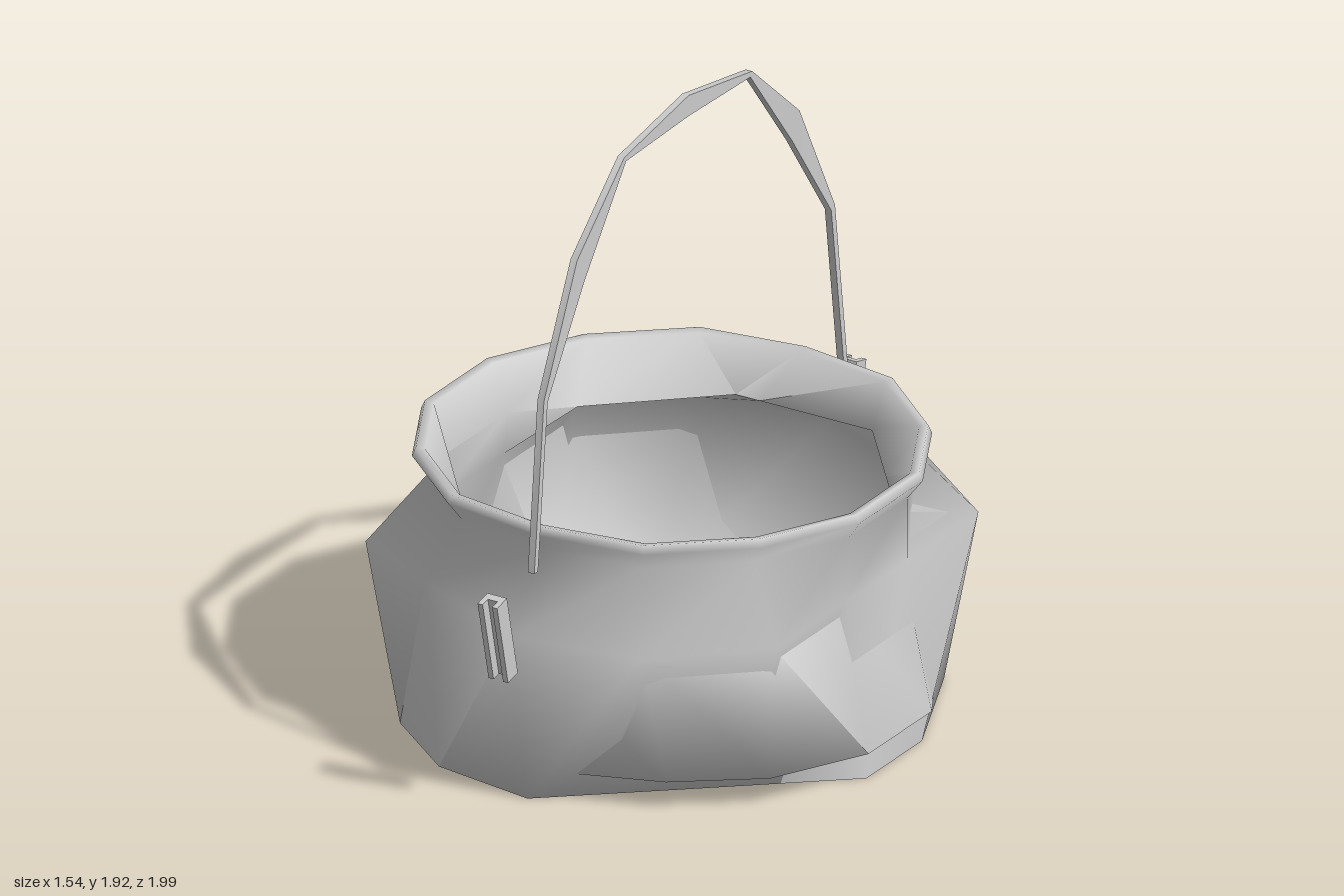
import * as THREE from 'three';
import { toCreasedNormals } from 'three/addons/utils/BufferGeometryUtils.js';

const material = new THREE.MeshStandardMaterial({ color: 0xcccccc, side: THREE.DoubleSide });

// Joins equal-length rings of [x, y, z] points into one closed-around skin
function loft(rings, crease) {
  const n = rings[0].length, index = [];
  for (let i = 0; i < rings.length - 1; i++) {
    for (let j = 0; j < n; j++) {
      const a = i * n + j, b = i * n + (j + 1) % n;
      index.push(a, b, b + n, a, b + n, a + n);
    }
  }
  const g = new THREE.BufferGeometry();
  g.setAttribute('position', new THREE.Float32BufferAttribute(rings.flat(2), 3));
  g.setIndex(index);
  return toCreasedNormals(g, crease);
}

function part(name, geometry) {
  const mesh = new THREE.Mesh(geometry, material);
  mesh.name = name;
  return mesh;
}

// Full ring from half of it: the pot repeats when turned by 180 degrees
function ring(y, half, s = 1) {
  return [...half, ...half.map(([x, z]) => [-x, -z])].map(([x, z]) => [x * s, y, z * s]);
}

function createPot() {
  const centre = Array(7).fill([0, 0]);
  const rim = [[0, 0.73], [0.33, 0.68], [0.59, 0.46], [0.74, 0.17], [0.74, -0.17], [0.59, -0.46], [0.33, -0.68]];
  const belly = [[0, 0.88], [0.4, 0.81], [0.69, 0.55], [0.69, 0.17], [0.69, -0.17], [0.69, -0.55], [0.4, -0.69]];
  const rings = [
    // flat base, cut straight across two corners, and belly
    ring(0, centre),
    ring(0, [[0, 0.78], [0.37, 0.47], [0.56, 0.31], [0.75, 0.15], [0.75, -0.15], [0.58, -0.54], [0.33, -0.73]]),
    ring(0.55, belly),
    // neck and flared rim
    ring(0.75, rim, 0.94),
    ring(0.81, rim),
    ring(0.835, rim, 0.985),
    ring(0.83, rim, 0.95),
    // inner lip, narrowest at the neck
    ring(0.69, [[0.08, 0.6], [0.16, 0.6], [0.5, 0.29], [0.65, 0.15], [0.65, -0.17], [0.5, -0.355], [0.3, -0.6]]),
    // thin wall inside the belly, then the floor with corners wider than the base
    ring(0.55, belly, 0.97),
    ring(0.09, [[0.1, 0.74], [0.38, 0.64], [0.62, 0.46], [0.77, 0.17], [0.77, -0.17], [0.6, -0.48], [0.34, -0.67]]),
    ring(0.09, centre),
  ];
  return part('pot', loft(rings, 1.5));
}

// Thin bail handle: each station has outer [z, y], inner [z, y] and x position
function createHandle() {
  const half = [
    [0.845, 0.75, 0.825, 0.75, 0.053],
    [0.785, 1.27, 0.765, 1.26, 0.048],
    [0.6, 1.64, 0.56, 1.56, 0.044],
    [0.345, 1.865, 0.335, 1.85, 0.044],
    [0, 1.925, 0, 1.86, 0.045],
  ];
  const back = half.slice(0, -1).reverse().map(([a, b, c, d, x]) => [-a, b, -c, d, x]);
  const rings = [...half, ...back].map(([oz, oy, iz, iy, x]) => [
    [x - 0.011, oy, oz], [x + 0.011, oy, oz], [x + 0.011, iy, iz], [x - 0.011, iy, iz],
  ]);
  const cap = (r) => Array(4).fill([0, 1, 2].map((k) => (r[0][k] + r[2][k]) / 2));
  return part('handle', loft([cap(rings[0]), ...rings, cap(rings.at(-1))], 0.9));
}

// Upright channel-shaped lug, open outward and leaning away from the pot
function createLug(name, side) {
  const shape = new THREE.Shape([
    [-0.033, -0.027], [0.033, -0.027], [0.033, 0.027], [0.016, 0.027],
    [0.016, -0.002], [-0.016, -0.002], [-0.016, 0.027], [-0.033, 0.027],
  ].map(([x, y]) => new THREE.Vector2(x, y)));
  const g = new THREE.ExtrudeGeometry(shape, { depth: 0.265, bevelEnabled: false });
  g.translate(0, 0, -0.1325);
  g.rotateX(Math.PI / 2 + 0.225);
  const lug = part(name, g);
  lug.position.set(0, 0.57, 0.94 * side);
  if (side < 0) lug.rotation.y = Math.PI;
  return lug;
}

export function createModel() {
  const group = new THREE.Group();
  group.name = 'cauldron';
  group.add(createPot(), createHandle(), createLug('frontLug', 1), createLug('backLug', -1));
  return group;
}
